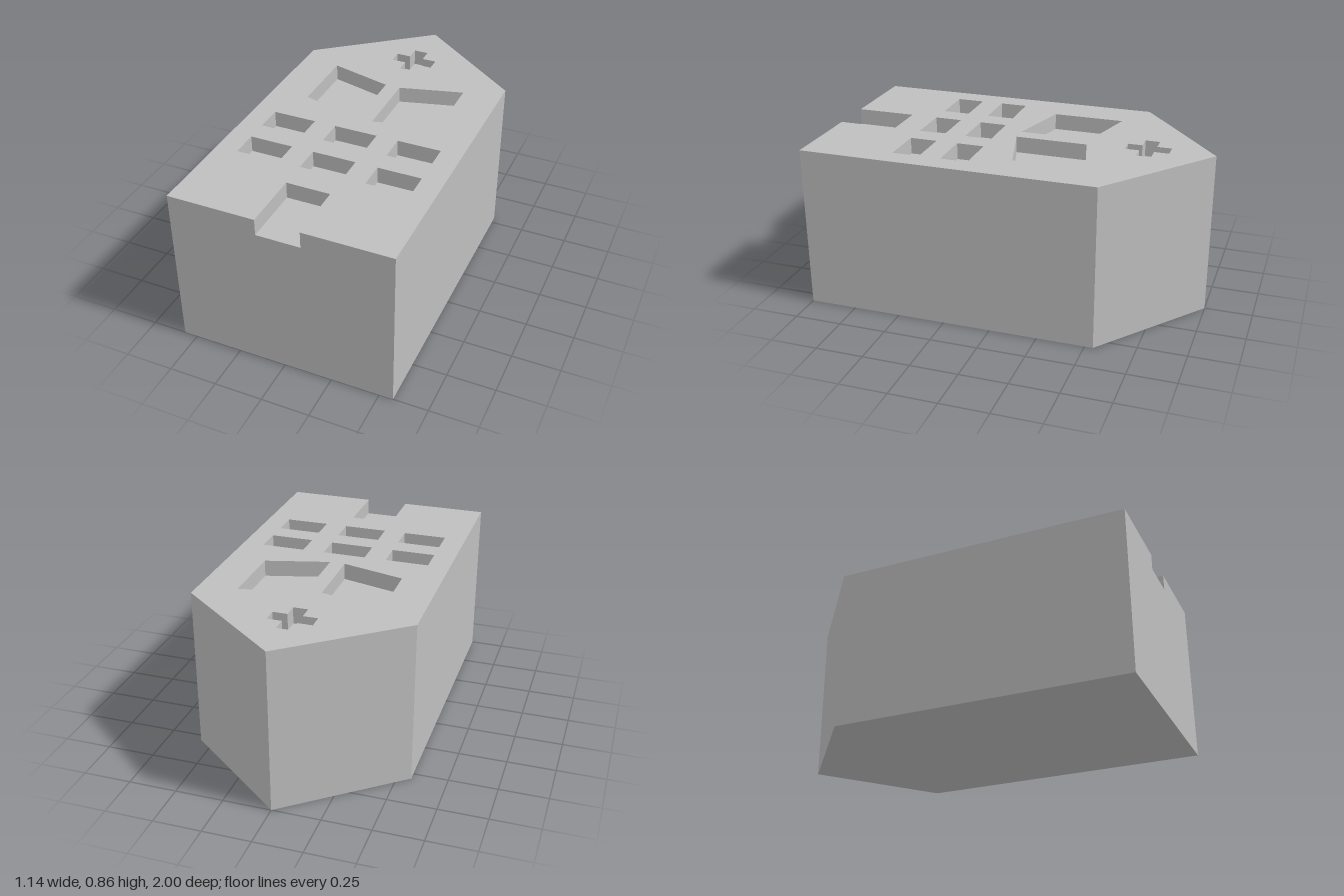
import * as THREE from 'three';

const HEIGHT = 0.857, FLOOR = 0.771;   // block top and recess floor levels
const W = 0.571, DOOR = 0.114, DOOR_Z = 0.686;

const toVec = (pts) => pts.map(([x, z]) => new THREE.Vector2(x, -z));

// Horizontal face from [x, z] points, facing up
function slab(pts, y, holes = []) {
  const shape = new THREE.Shape(toVec(pts));
  holes.forEach((h) => shape.holes.push(new THREE.Path(toVec(h))));
  return new THREE.ShapeGeometry(shape).rotateX(-Math.PI / 2).translate(0, y, 0);
}

// Upright walls along [x, z] points, facing right of the walking direction
function walls(pts, y0, y1, closed) {
  const pos = [];
  const count = closed ? pts.length : pts.length - 1;
  for (let i = 0; i < count; i++) {
    const [ax, az] = pts[i], [bx, bz] = pts[(i + 1) % pts.length];
    pos.push(ax, y0, az, bx, y0, bz, bx, y1, bz);
    pos.push(ax, y0, az, bx, y1, bz, ax, y1, az);
  }
  const geo = new THREE.BufferGeometry();
  geo.setAttribute('position', new THREE.Float32BufferAttribute(pos, 3));
  geo.computeVertexNormals();
  return geo;
}

const rect = (x0, x1, z0, z1) => [[x0, z1], [x1, z1], [x1, z0], [x0, z0]];

export function createModel() {
  const group = new THREE.Group();
  const grey = new THREE.MeshStandardMaterial({ color: 0xbfbfbf });
  grey.name = 'grey';
  const add = (name, geo) => {
    const mesh = new THREE.Mesh(geo, grey);
    mesh.name = name;
    group.add(mesh);
  };

  // Closed recesses sunk into the top face
  const recesses = [];
  for (const z of [0.143, 0.4]) {
    for (const x of [-0.343, 0, 0.343]) {
      recesses.push(['smallWindow', rect(x - 0.114, x + 0.114, z, z + 0.143)]);
    }
  }
  const shutter = [[0.04, 0.029], [0.371, -0.06], [0.371, -0.433], [0.04, -0.345]];
  recesses.push(['leftLargeWindow', shutter]);
  recesses.push(['rightLargeWindow', shutter.map(([x, z]) => [-x, z]).reverse()]);
  const a = 0.038, b = 0.114, c = -0.657;
  recesses.push(['crossRecess', [
    [-a, b], [a, b], [a, a], [b, a], [b, -a], [a, -a],
    [a, -b], [-a, -b], [-a, -a], [-b, -a], [-b, a], [-a, a],
  ].map(([x, z]) => [x, z + c])]);

  for (const [name, pts] of recesses) {
    add(name + 'Floor', slab(pts, FLOOR));
    add(name + 'Walls', walls([...pts].reverse(), FLOOR, HEIGHT, true));
  }

  // Doorway notch, open at the front
  const notch = [[-DOOR, 1], [-DOOR, DOOR_Z], [DOOR, DOOR_Z], [DOOR, 1]];
  add('doorwayFloor', slab(rect(-DOOR, DOOR, DOOR_Z, 1), FLOOR));
  add('doorwayWalls', walls(notch, FLOOR, HEIGHT, false));

  // House-shaped block
  const sides = [[W, 1], [W, -0.543], [0, -1], [-W, -0.543], [-W, 1]];
  add('topFace', slab([...notch, ...sides], HEIGHT, recesses.map((r) => r[1])));
  add('sideWalls', walls(sides, 0, HEIGHT, false));

  // Front wall with the doorway cut out of its top edge
  const front = new THREE.Shape([
    [-W, 0], [W, 0], [W, HEIGHT], [DOOR, HEIGHT], [DOOR, FLOOR],
    [-DOOR, FLOOR], [-DOOR, HEIGHT], [-W, HEIGHT],
  ].map(([x, y]) => new THREE.Vector2(x, y)));
  add('frontWall', new THREE.ShapeGeometry(front).translate(0, 0, 1));

  // Underside, facing down
  const base = new THREE.Shape(sides.map(([x, z]) => new THREE.Vector2(x, z)));
  add('underside', new THREE.ShapeGeometry(base).rotateX(Math.PI / 2));

  return group;
}
